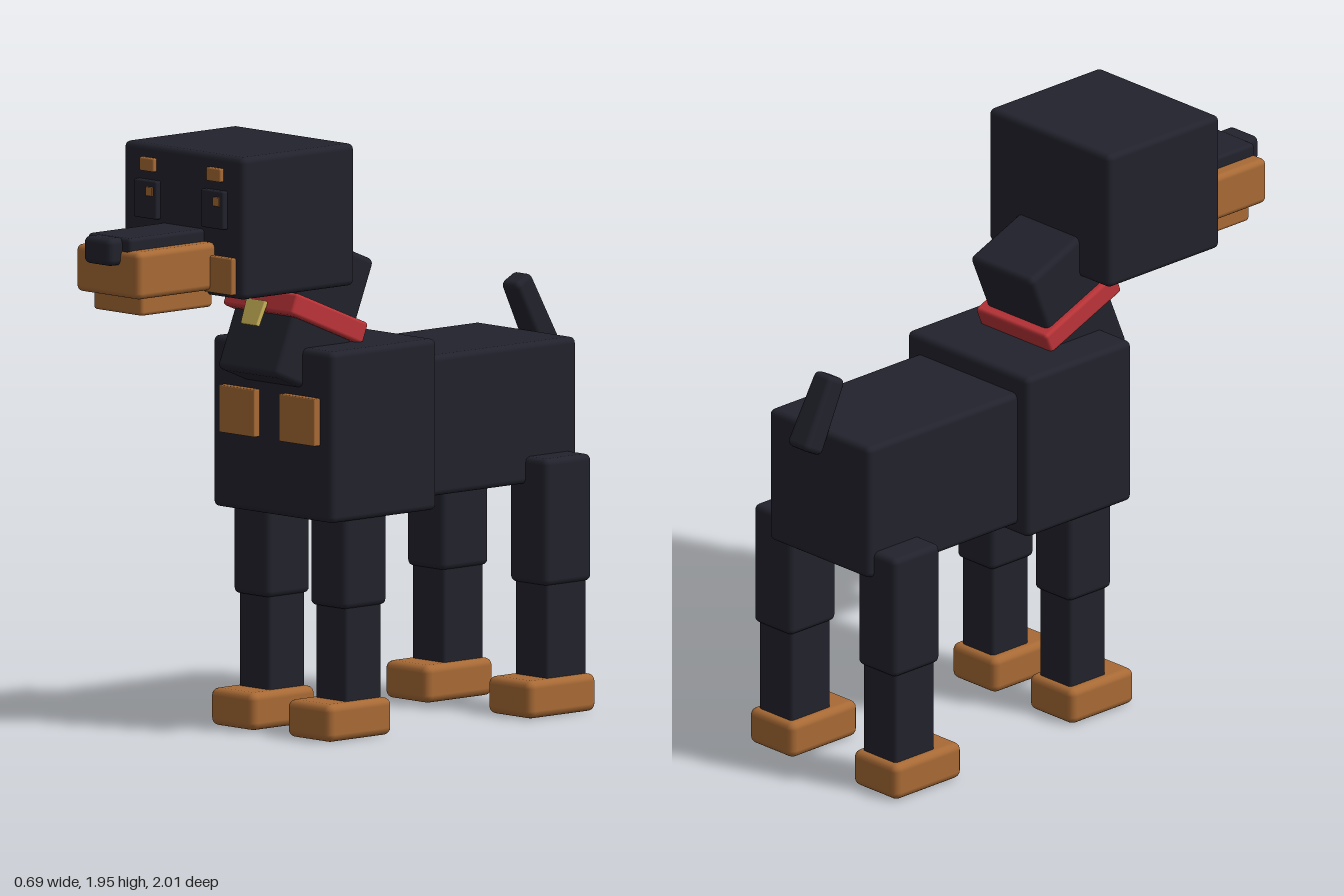
import * as THREE from 'three';
import { RoundedBoxGeometry } from 'three/addons/geometries/RoundedBoxGeometry.js';

const material = (name, color) => {
  const m = new THREE.MeshStandardMaterial({ color });
  m.name = name;
  return m;
};

export function createModel() {
  const coat = material('blackCoat', 0x22222d);
  const tan = material('tanMarking', 0xa86a35);
  const red = material('redCollar', 0xbc3438);
  const gold = material('goldTag', 0xccb45a);

  const dog = new THREE.Group();
  dog.name = 'dog';

  // Softly bevelled block given by its extents on each axis
  function block(parent, name, mat, [x0, x1], [y0, y1], [z0, z1], bevel = 0.02) {
    const w = x1 - x0, h = y1 - y0, d = z1 - z0;
    const r = Math.min(bevel, Math.min(w, h, d) * 0.35);
    const mesh = new THREE.Mesh(new RoundedBoxGeometry(w, h, d, 2, r), mat);
    mesh.name = name;
    mesh.position.set((x0 + x1) / 2, (y0 + y1) / 2, (z0 + z1) / 2);
    parent.add(mesh);
    return mesh;
  }
  const group = (name, parent = dog) => {
    const g = new THREE.Group();
    g.name = name;
    parent.add(g);
    return g;
  };
  const sym = (h) => [-h, h];
  const around = (c, w) => [c - w / 2, c + w / 2];

  // Torso
  block(dog, 'chest', coat, sym(0.283), [0.72, 1.28], [-0.25, 0.22]);
  block(dog, 'body', coat, sym(0.235), [0.755, 1.215], [-0.915, -0.2]);

  // Head and muzzle
  const head = group('head');
  block(head, 'skull', coat, sym(0.283), [1.49, 1.955], [0.115, 0.615]);
  block(head, 'muzzle', tan, sym(0.15), [1.51, 1.665], [0.59, 0.953]);
  block(head, 'lowerJaw', tan, sym(0.115), [1.45, 1.53], [0.59, 0.907], 0.012);
  block(head, 'noseBridge', coat, sym(0.1), [1.64, 1.705], [0.59, 0.945], 0.012);
  block(head, 'nose', coat, sym(0.065), [1.615, 1.705], [0.925, 1.0]);

  // Face and chest markings, mirrored
  for (const s of [-1, 1]) {
    const side = s > 0 ? 'left' : 'right';
    block(head, side + 'Cheek', tan, around(s * 0.185, 0.13), [1.505, 1.625], [0.6, 0.635], 0.005);
    block(head, side + 'Eye', coat, around(s * 0.158, 0.105), [1.715, 1.84], [0.6, 0.636], 0.006);
    // Highlights sit on the same side of both eyes
    block(head, side + 'EyeGlint', tan, around(s * 0.158 + 0.023, 0.03), [1.79, 1.82], [0.632, 0.641], 0.002);
    block(head, side + 'Brow', tan, around(s * 0.158, 0.068), [1.868, 1.912], [0.6, 0.631], 0.005);
    block(dog, side + 'ChestPatch', tan, around(s * 0.142, 0.168), [0.97, 1.125], [0.2, 0.245], 0.004);
  }

  // Backward-leaning neck with collar and tag
  const neck = group('neck');
  neck.position.set(0, 1.368, 0.115);
  neck.rotation.x = -0.39;
  block(neck, 'neckBlock', coat, sym(0.145), sym(0.24), sym(0.139));
  block(neck, 'collar', red, sym(0.166), sym(0.037), sym(0.171), 0.012);
  const tag = block(neck, 'collarTag', gold, sym(0.045), [-0.093, -0.007], [0.173, 0.189], 0.004);
  const tagPos = tag.geometry.attributes.position;
  for (let i = 0; i < tagPos.count; i++) {
    if (tagPos.getY(i) < 0) tagPos.setX(i, tagPos.getX(i) * 0.86);
  }

  // Legs: thigh, shin and paw
  const legs = [
    { name: 'front', x: 0.181, thigh: [0.17, 0.43, 0.84, -0.045, 0.147], shin: [0.147, -0.03, 0.13], paw: [-0.052, 0.232] },
    { name: 'rear', x: 0.243, thigh: [0.177, 0.43, 0.845, -0.892, -0.685], shin: [0.155, -0.877, -0.7], paw: [-0.9, -0.6] },
  ];
  for (const { name, x, thigh, shin, paw } of legs) {
    for (const s of [-1, 1]) {
      const leg = group(name + (s > 0 ? 'Left' : 'Right') + 'Leg');
      block(leg, 'upperLeg', coat, around(s * x, thigh[0]), [thigh[1], thigh[2]], [thigh[3], thigh[4]]);
      block(leg, 'lowerLeg', coat, around(s * x, shin[0]), [0.1, 0.45], [shin[1], shin[2]], 0.012);
      block(leg, 'paw', tan, around(s * x, 0.207), [0.005, 0.128], paw, 0.025);
    }
  }

  // Short tail, narrowing toward the tip
  const tail = block(dog, 'tail', coat, sym(0.05), [1.144, 1.404], [-0.964, -0.878]);
  const tailPos = tail.geometry.attributes.position;
  for (let i = 0; i < tailPos.count; i++) {
    const k = 0.9 - tailPos.getY(i) * 0.75;
    tailPos.setX(i, tailPos.getX(i) * k);
    tailPos.setZ(i, tailPos.getZ(i) * (k * 0.5 + 0.5));
  }
  tail.rotation.x = 0.48;

  return dog;
}
